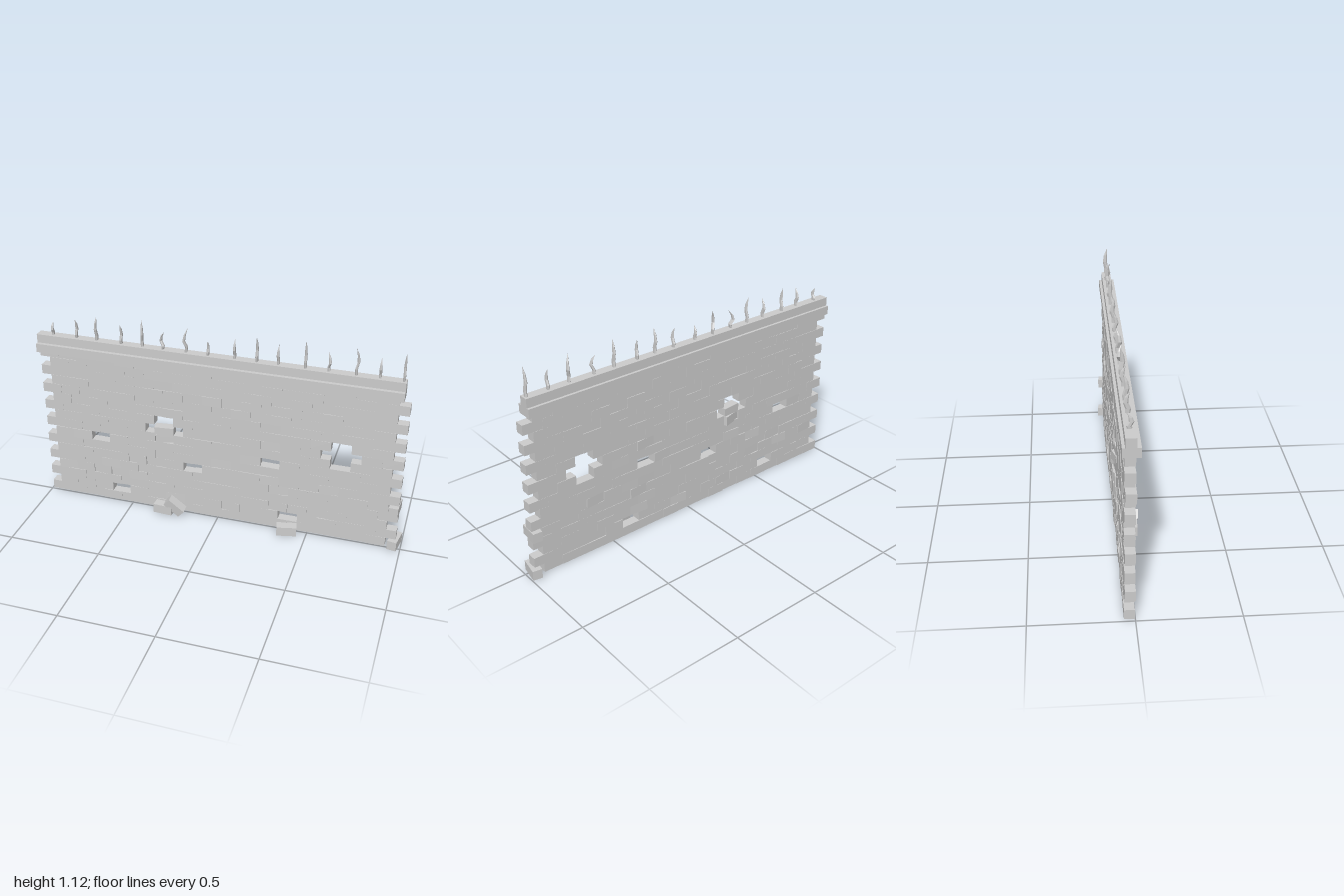
import * as THREE from 'three';

const L = 0.106, H = 0.0527, D = 0.05, ZC = -0.025;

function seeded(seed) {
  return () => {
    seed = (seed * 16807) % 2147483647;
    return seed / 2147483647;
  };
}

export function createModel() {
  const model = new THREE.Group();
  const rnd = seeded(77);
  const mat = new THREE.MeshStandardMaterial({ color: 0xcccccc, flatShading: true });
  const brickGeo = new THREE.BoxGeometry(L, H, D);

  function add(name, geo, pos, rot = [0, 0, 0], parent = model) {
    const m = new THREE.Mesh(geo, mat);
    m.name = name;
    m.position.set(...pos);
    m.rotation.set(...rot);
    parent.add(m);
    return m;
  }

  // Brick courses in running bond, with missing bricks listed as course: indices
  const missing = {
    1: [3, 12], 5: [7], 7: [2, 11],
    8: [6, 15], 9: [5, 6, 14, 15], 10: [6, 15],
  };
  const wall = new THREE.Group();
  wall.name = 'brickWall';
  model.add(wall);
  for (let row = 0; row < 17; row++) {
    const start = row % 2 ? -0.936 : -0.99;
    for (let i = 0; i < 18; i++) {
      const dz = (rnd() - 0.5) * 0.006;
      const yaw = rnd() < 0.12 && row < 10 ? (rnd() - 0.5) * 0.2 : 0;
      if (missing[row]?.includes(i)) continue;
      add('brick', brickGeo, [start + (i + 0.5) * L, (row + 0.5) * H, ZC + dz], [0, yaw, 0], wall);
    }
  }

  // Bricks shaken loose in the wall and fallen on the ground
  const loose = [
    [-0.3, 0.442, -0.028, 0, 0.28, 0],
    [-0.303, 0.487, -0.022, 0, 0.1, 0],
    [0.95, 4.5 * H, -0.023, 0, 1.5, 0],
    [0.965, H / 2, -0.025, 0, 1.4, 0],
    [-0.3, H / 2, 0.04, 0, -0.06, 0],
    [-0.235, 0.052, 0.042, 0.12, 0, -0.7],
    [0.396, H / 2, 0.042, 0, 0.22, 0],
  ];
  for (const [x, y, z, ...rot] of loose) add('looseBrick', brickGeo, [x, y, z], rot);

  // Two-step coping
  add('copingLower', new THREE.BoxGeometry(1.94, 0.048, 0.084), [-0.03, 0.896, -0.022]);
  add('copingUpper', new THREE.BoxGeometry(1.94, 0.047, 0.05), [-0.03, 0.9435, ZC]);

  // Bent blade spike: a six-sided cone whose rings follow a kinked path
  function spikeGeo(h, kx, kz) {
    const g = new THREE.CylinderGeometry(0.001, 1, h, 6, 4);
    g.translate(0, h / 2, 0);
    const p = g.attributes.position;
    const radius = [0.008, 0.0085, 0.008, 0.006, 0.0005];
    const bend = [0, 0.35, -0.8, -0.3, 1];
    for (let i = 0; i < p.count; i++) {
      const k = Math.round((p.getY(i) / h) * 4);
      const len = Math.hypot(p.getX(i), p.getZ(i)) || 1;
      const cap = Math.hypot(p.getX(i), p.getZ(i)) < 1e-6 ? 0 : 1;
      p.setX(i, (p.getX(i) / len) * radius[k] * cap * 0.85 + bend[k] * kx);
      p.setZ(i, (p.getZ(i) / len) * radius[k] * cap * 1.5 + bend[k] * kz);
    }
    g.computeVertexNormals();
    return g;
  }

  // x, tip height, sideways kink
  const spikes = [
    [-0.915, 1.037, 0], [-0.78, 1.07, 0], [-0.668, 1.096, 0.002], [-0.53, 1.07, 0],
    [-0.414, 1.107, -0.003], [-0.303, 1.064, 0.013], [-0.178, 1.096, 0.01], [-0.06, 1.043, 0],
    [0.08, 1.07, 0], [0.195, 1.1, 0], [0.305, 1.07, 0.002], [0.442, 1.112, 0],
    [0.56, 1.064, -0.008], [0.696, 1.107, -0.007], [0.81, 1.07, 0], [0.925, 1.115, 0.002],
  ];
  spikes.forEach(([x, top, kx], i) => {
    const kz = (i % 2 ? 1 : -1) * (0.006 + rnd() * 0.004);
    add('spike', spikeGeo(top - 0.96, kx, kz), [x, 0.96, ZC]);
  });

  return model;
}
